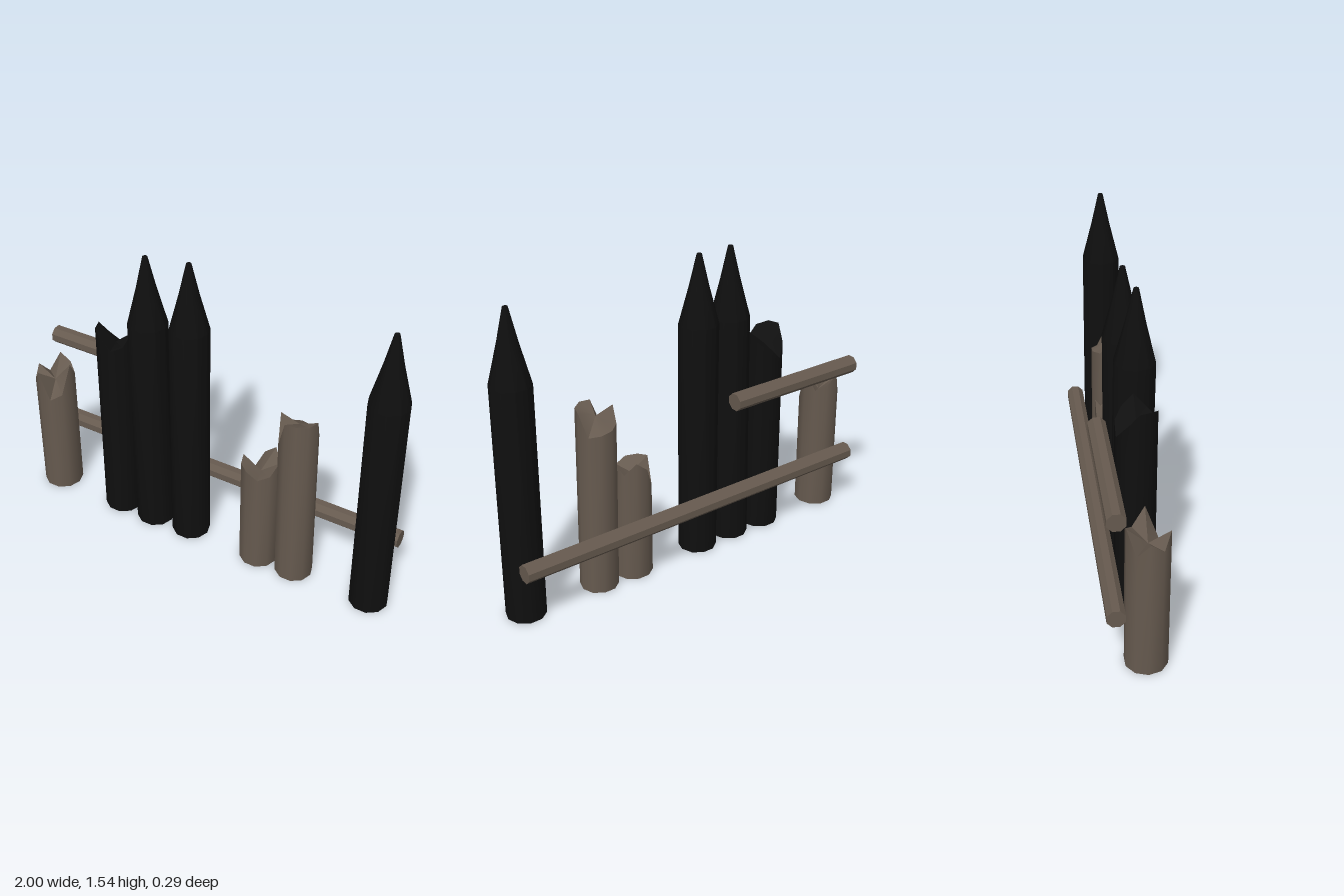
import * as THREE from 'three';
import { toCreasedNormals } from 'three/addons/utils/BufferGeometryUtils.js';

const SIDES = 10;
const CREASE = 0.66; // rounds the sides, keeps breaks and caps sharp

export function createModel() {
  const group = new THREE.Group();
  const brown = new THREE.MeshStandardMaterial({ color: 0x665a4f });
  brown.name = 'weatheredWood';
  const black = new THREE.MeshStandardMaterial({ color: 0x0f0f0f });
  black.name = 'charredWood';

  const add = (name, geometry, material, x, y, z) => {
    const mesh = new THREE.Mesh(geometry, material);
    mesh.name = name;
    mesh.position.set(x, y, z);
    group.add(mesh);
    return mesh;
  };

  // Sharpened stake: a turned profile with a two-step point
  const stake = (name, x, z, shoulder, top, lean) => {
    const r = 0.096;
    const profile = [
      [0, 0], [r, 0], [r, shoulder],
      [0.047, shoulder + (top - shoulder) * 0.55],
      [0.012, top], [0, top],
    ].map(([a, b]) => new THREE.Vector2(a, b));
    const geometry = new THREE.LatheGeometry(profile, SIDES, Math.PI / 2);
    const p = geometry.attributes.position;
    for (let i = 0; i < p.count; i++) p.setZ(i, p.getZ(i) + lean * p.getY(i));
    add(name, toCreasedNormals(geometry, CREASE), black, x, 0, z);
  };

  // Snapped post: rim heights run from +x towards the front (+z) and round
  const brokenPost = (name, material, x, z, r, core, rim, lean = 0) => {
    const geometry = new THREE.CylinderGeometry(r, r, 1, SIDES, 1, false, Math.PI / 2);
    geometry.translate(0, 0.5, 0);
    const p = geometry.attributes.position;
    for (let i = 0; i < p.count; i++) {
      if (p.getY(i) < 0.5) continue;
      const px = p.getX(i), pz = p.getZ(i);
      const k = Math.round(Math.atan2(pz, px) / (2 * Math.PI) * SIDES + SIDES) % SIDES;
      const h = Math.hypot(px, pz) < r / 2 ? core : rim[k];
      p.setXYZ(i, px + lean * h, h, pz);
    }
    add(name, toCreasedNormals(geometry, CREASE), material, x, 0, z);
  };

  stake('stakeMiddleRight', -0.304, 0.044, 1.18, 1.53, 0.012);
  stake('stakeMiddleLeft', -0.094, 0.036, 1.2, 1.54, -0.004);
  stake('stakeEnd', 0.906, 0.04, 1.16, 1.51, 0);

  brokenPost('brokenPostEnd', brown, -0.9, 0.04, 0.1, 0.64,
    [0.76, 0.6, 0.57, 0.72, 0.65, 0.7, 0.63, 0.74, 0.7, 0.67]);
  brokenPost('brokenPostCharred', black, -0.505, 0.04, 0.096, 1.0,
    [1.08, 1.02, 1.0, 1.06, 1.08, 1.08, 1.0, 0.94, 0.99, 1.03]);
  brokenPost('brokenPostShort', brown, 0.302, 0.038, 0.096, 0.54,
    [0.62, 0.57, 0.55, 0.58, 0.59, 0.6, 0.47, 0.58, 0.63, 0.57]);
  brokenPost('brokenPostTall', brown, 0.5, 0.038, 0.094, 0.89,
    [0.93, 0.93, 0.935, 0.93, 0.78, 0.92, 0.85, 0.84, 0.83, 0.82], -0.012);

  // Horizontal rails behind the posts
  const rail = (name, x0, x1, y) => {
    const geometry = new THREE.CylinderGeometry(0.045, 0.045, x1 - x0, 8);
    geometry.rotateY(Math.PI / 8).rotateZ(Math.PI / 2);
    add(name, toCreasedNormals(geometry, 0.3), brown, (x0 + x1) / 2, y, -0.102);
  };
  rail('lowerRail', -0.98, 0.98, 0.31);
  rail('upperRail', -0.98, -0.21, 0.81);

  return group;
}
